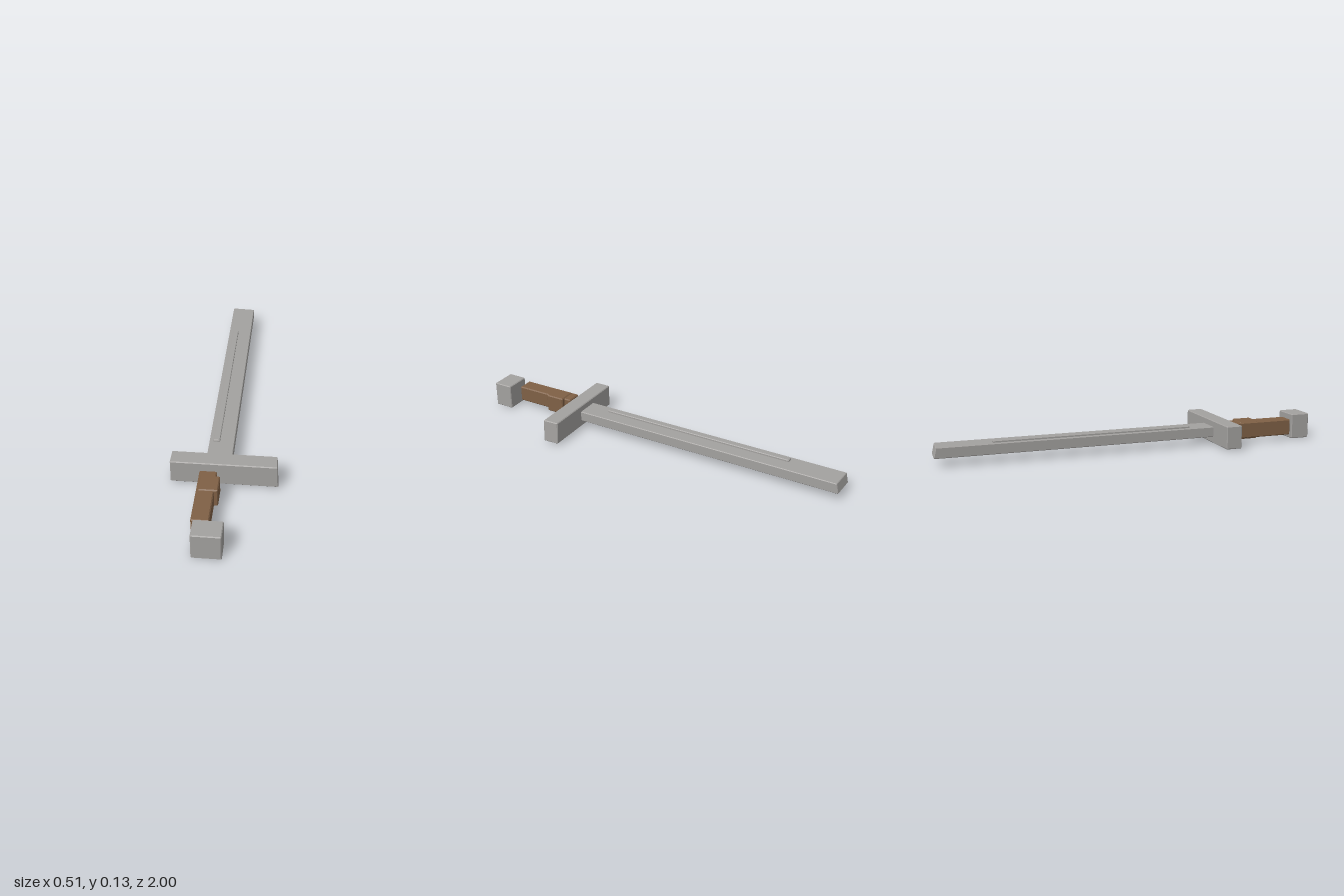
import * as THREE from 'three';
import { ConvexGeometry } from 'three/addons/geometries/ConvexGeometry.js';

// Block with chamfered edges; skew(corner, sx, sy, sz) may nudge each corner.
function chamferedBlock(name, material, min, max, bevel, skew) {
  const points = [];
  const signs = [-1, 1];
  for (const sx of signs) for (const sy of signs) for (const sz of signs) {
    const s = [sx, sy, sz];
    const corner = new THREE.Vector3(...s.map((v, i) => (v < 0 ? min[i] : max[i])));
    if (skew) skew(corner, sx, sy, sz);
    // three points per corner, each lying on one of the faces that meet there
    for (let face = 0; face < 3; face++) {
      const p = corner.clone();
      for (let i = 0; i < 3; i++) {
        if (i !== face) p.setComponent(i, p.getComponent(i) - s[i] * bevel);
      }
      points.push(p);
    }
  }
  const mesh = new THREE.Mesh(new ConvexGeometry(points), material);
  mesh.name = name;
  return mesh;
}

export function createModel() {
  const steel = new THREE.MeshStandardMaterial({ name: 'grey steel', color: 0xa3a19f, flatShading: true });
  const leather = new THREE.MeshStandardMaterial({ name: 'brown leather', color: 0x7f6045, flatShading: true });

  const sword = new THREE.Group();
  sword.name = 'sword';

  sword.add(
    // Blade, with a slightly slanted tip
    chamferedBlock('blade', steel, [-0.093, 0.042, -1], [0.028, 0.095, 0.44], 0.003, (c, sx, sy, sz) => {
      if (sz < 0) c.z += (sx > 0 ? 0.007 : 0) + (sy > 0 ? 0.011 : 0);
    }),
    // Raised rib along the top of the blade
    chamferedBlock('bladeRib', steel, [-0.074, 0.085, -0.715], [-0.042, 0.105, 0.312], 0.003),
    // Crossguard, with one uneven end
    chamferedBlock('crossguard', steel, [-0.255, 0.009, 0.437], [0.253, 0.127, 0.521], 0.004, (c, sx, sy, sz) => {
      if (sx > 0) c.x -= (sy > 0 ? 0.006 : 0) + (sz < 0 ? 0.004 : 0);
    }),
    // Grip and its wrapped collar
    chamferedBlock('grip', leather, [-0.112, 0.026, 0.547], [-0.03, 0.109, 0.88], 0.005),
    chamferedBlock('gripCollar', leather, [-0.105, 0.02, 0.585], [-0.012, 0.114, 0.687], 0.005),
    // Pommel
    chamferedBlock('pommel', steel, [-0.098, 0, 0.898], [0.037, 0.132, 1], 0.004),
  );
  return sword;
}
